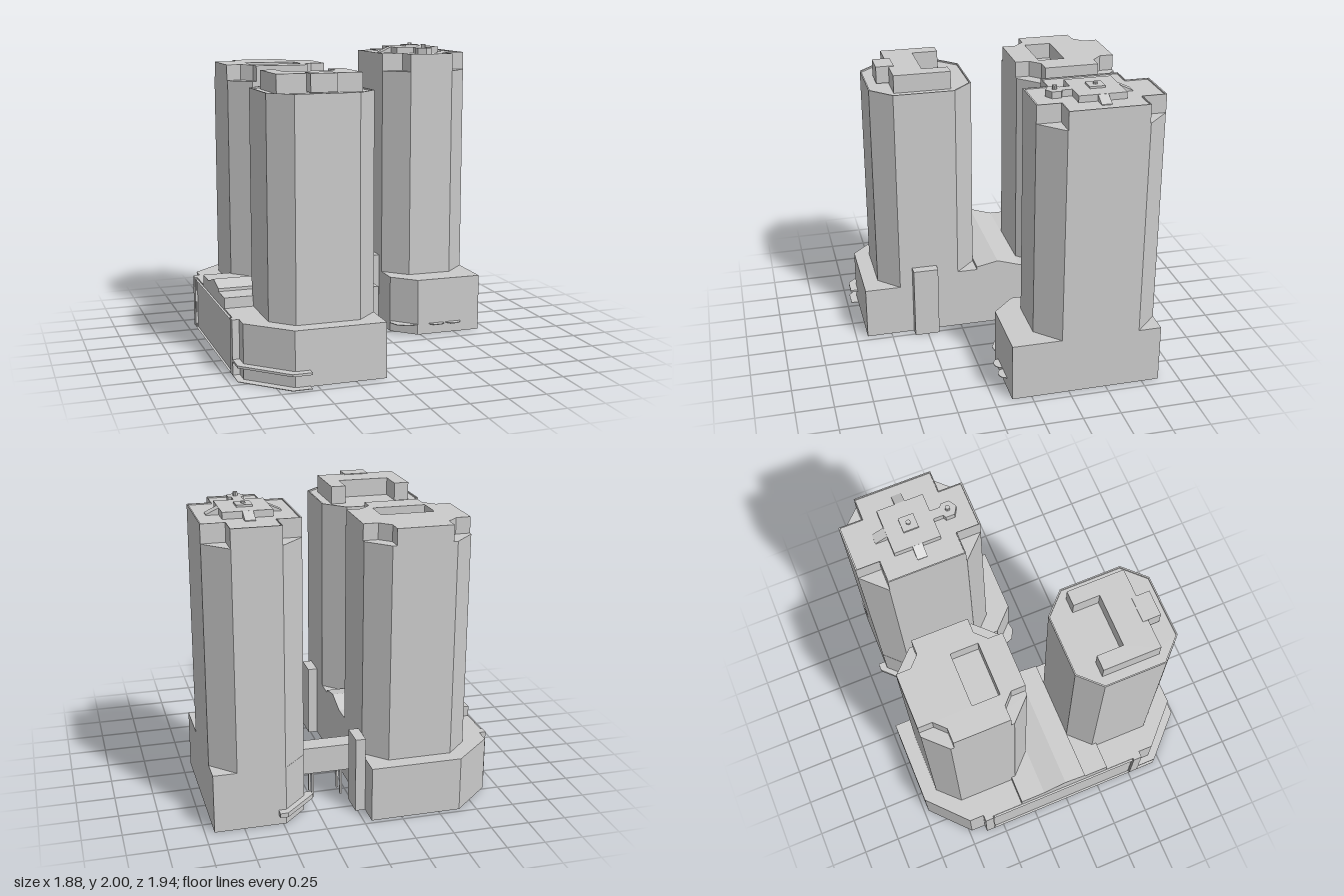
import * as THREE from 'three';

const material = new THREE.MeshStandardMaterial({ color: 0xcccccc, flatShading: true, side: THREE.DoubleSide });

export function createModel() {
  const model = new THREE.Group();

  const add = (name, geometry) => {
    const mesh = new THREE.Mesh(geometry, material);
    mesh.name = name;
    model.add(mesh);
    return mesh;
  };
  const box = (name, x0, x1, y0, y1, z0, z1) =>
    add(name, new THREE.BoxGeometry(x1 - x0, y1 - y0, z1 - z0))
      .position.set((x0 + x1) / 2, (y0 + y1) / 2, (z0 + z1) / 2);

  // Upright prism from a plan outline of [x, z] points, with optional hole
  const toPts = (plan) => plan.map(([x, z]) => new THREE.Vector2(x, -z));
  const prism = (name, plan, y0, y1, hole) => {
    const shape = new THREE.Shape(toPts(plan));
    if (hole) shape.holes.push(new THREE.Path(toPts(hole)));
    const g = new THREE.ExtrudeGeometry(shape, { depth: y1 - y0, bevelEnabled: false });
    g.rotateX(-Math.PI / 2).translate(0, y0, 0);
    return add(name, g);
  };
  const rect = (x0, x1, z0, z1) => [[x0, z0], [x1, z0], [x1, z1], [x0, z1]];
  const octagon = (x0, x1, z0, z1, c) => [
    [x0 + c, z0], [x1 - c, z0], [x1, z0 + c], [x1, z1 - c],
    [x1 - c, z1], [x0 + c, z1], [x0, z1 - c], [x0, z0 + c]];
  // Plan shrunk towards a centre
  const shrink = (plan, cx, cz, s) => plan.map(([x, z]) => [cx + (x - cx) * s, cz + (z - cz) * s]);

  // Podium that is hollow and open below
  const podium = (name, plan, top, cx, cz) => {
    prism(name + 'Walls', plan, 0, top - 0.01, shrink(plan, cx, cz, 0.985));
    prism(name + 'Roof', plan, top - 0.01, top);
  };

  // ---- Long podium under the twin towers
  podium('longPodium', [
    [-0.05, -0.97], [-0.64, -0.97], [-0.90, -0.73], [-0.90, -0.63], [-0.945, -0.63], [-0.945, -0.57],
    [-0.93, -0.57], [-0.93, 0.51], [-0.945, 0.51], [-0.945, 0.57], [-0.90, 0.57], [-0.90, 0.67],
    [-0.64, 0.92], [-0.05, 0.92]], 0.36, -0.5, 0);
  box('raisedDeck', -0.93, -0.05, 0.36, 0.43, -0.35, 0.30);

  // Gabled roof between the twin towers
  const gable = new THREE.ExtrudeGeometry(new THREE.Shape([
    new THREE.Vector2(-0.13, 0.43), new THREE.Vector2(0.18, 0.43),
    new THREE.Vector2(0.02, 0.48), new THREE.Vector2(-0.13, 0.45)]), { depth: 0.88, bevelEnabled: false });
  gable.rotateY(Math.PI / 2).translate(-0.93, 0, 0);
  add('gableRoof', gable);

  // ---- Front twin tower
  const frontPlan = octagon(-0.74, -0.05, 0.13, 0.815, 0.138);
  prism('frontTower', frontPlan, 0.36, 1.76);
  prism('frontTowerParapet', frontPlan, 1.76, 1.77, shrink(frontPlan, -0.395, 0.47, 0.975));
  prism('frontTowerPenthouse', [
    [-0.67, 0.28], [-0.57, 0.28], [-0.57, 0.455], [-0.22, 0.455], [-0.22, 0.28],
    [-0.12, 0.28], [-0.12, 0.66], [-0.67, 0.66]], 1.76, 1.88);
  box('frontTowerRoofBox', -0.48, -0.31, 1.77, 1.885, 0.625, 0.745);

  // ---- Rear twin tower with notched crown and roof recess
  prism('rearTower', octagon(-0.74, -0.05, -0.87, -0.185, 0.138), 0.36, 1.77);
  const crown = [];
  for (const [sx, sz] of [[-1, -1], [1, -1], [1, 1], [-1, 1]]) {
    const corner = [[0.345, 0.183], [0.25, 0.183], [0.18, 0.25], [0.18, 0.343]]
      .map(([x, z]) => [-0.395 + sx * x, -0.5275 + sz * z]);
    crown.push(...(sx * sz > 0 ? corner : corner.reverse()));
  }
  prism('rearTowerCrown', crown, 1.77, 1.875, rect(-0.57, -0.22, -0.525, -0.345));

  // ---- Tall tower
  podium('tallPodium', [
    [0.48, -0.865], [0.94, -0.865], [0.94, 0.13], [0.48, 0.13], [0.33, -0.02], [0.33, -0.715]],
    0.39, 0.635, -0.37);
  prism('tallTower', octagon(0.33, 0.94, -0.865, -0.045, 0.152), 0.38, 1.82);
  const cross = [
    [0.48, -0.865], [0.79, -0.865], [0.79, -0.71], [0.94, -0.71], [0.94, -0.20], [0.79, -0.20],
    [0.79, -0.045], [0.48, -0.045], [0.48, -0.20], [0.33, -0.20], [0.33, -0.71], [0.48, -0.71]];
  prism('tallTowerCrown', cross, 1.82, 1.932);
  prism('tallTowerParapet', cross, 1.932, 1.94, shrink(cross, 0.635, -0.455, 0.975));

  // Landing platform with sloping ramps
  box('roofPlatform', 0.48, 0.79, 1.93, 1.975, -0.61, -0.305);
  for (const turn of [0, 1, 2]) {
    const ramp = new THREE.BoxGeometry(0.08, 0.045, 0.066);
    const p = ramp.attributes.position;
    for (let i = 0; i < p.count; i++) if (p.getX(i) > 0 && p.getY(i) > 0) p.setY(i, -0.015);
    ramp.translate(0.193, 0, 0).rotateY(turn * Math.PI / 2);
    add('roofRamp', ramp).position.set(0.635, 1.9525, -0.4575);
  }
  box('roofWalkway', 0.605, 0.665, 1.93, 1.975, -0.305, -0.23);
  add('roofDrum', new THREE.CylinderGeometry(0.058, 0.058, 0.045, 6)).position.set(0.635, 1.9525, -0.20);
  box('roofHatch', 0.585, 0.685, 1.975, 1.988, -0.508, -0.408);
  for (const z of [-0.458, -0.20])
    add('roofVent', new THREE.CylinderGeometry(0.015, 0.015, 0.03, 10)).position.set(0.635, 1.985, z);

  // ---- Stair blocks on the facing walls
  for (const [x0, x1, z0, z1] of [
    [-0.05, 0.015, 0.42, 0.59], [-0.05, 0.015, -0.82, -0.65], [0.26, 0.33, -0.415, -0.25]])
    box('stairBlock', x0, x1, 0, 0.5, z0, z1);

  // ---- Bridge on slim columns
  box('bridge', -0.05, 0.33, 0.18, 0.36, -0.58, -0.45);
  for (const x of [0.042, 0.232])
    for (const z of [-0.56, -0.47]) box('bridgeColumn', x - 0.007, x + 0.007, 0, 0.18, z - 0.007, z + 0.007);

  // ---- Entrance canopies
  const frontCanopy = [
    [-0.90, 0.57], [-0.945, 0.57], [-0.945, 0.70], [-0.67, 0.97], [-0.545, 0.97],
    [-0.545, 0.92], [-0.64, 0.92], [-0.90, 0.67]];
  prism('frontCanopy', frontCanopy, 0.09, 0.105);
  prism('frontPaving', frontCanopy, 0, 0.004);
  prism('rearCanopy', [
    [0.33, -0.67], [0.27, -0.67], [0.27, -0.71], [0.48, -0.915], [0.53, -0.915],
    [0.53, -0.865], [0.48, -0.865], [0.33, -0.715]], 0.07, 0.10);
  prism('cornerCanopy', [
    [0.33, -0.02], [0.315, 0.03], [0.34, 0.10], [0.41, 0.135], [0.475, 0.125]], 0.07, 0.075);
  for (const x of [0.62, 0.745]) {
    const disc = [];
    for (let i = 0; i <= 6; i++) {
      const a = i / 6 * Math.PI;
      disc.push([x + 0.055 * Math.cos(a), 0.13 + 0.045 * Math.sin(a)]);
    }
    prism('doorCanopy', disc, 0.07, 0.075);
  }
  return model;
}
